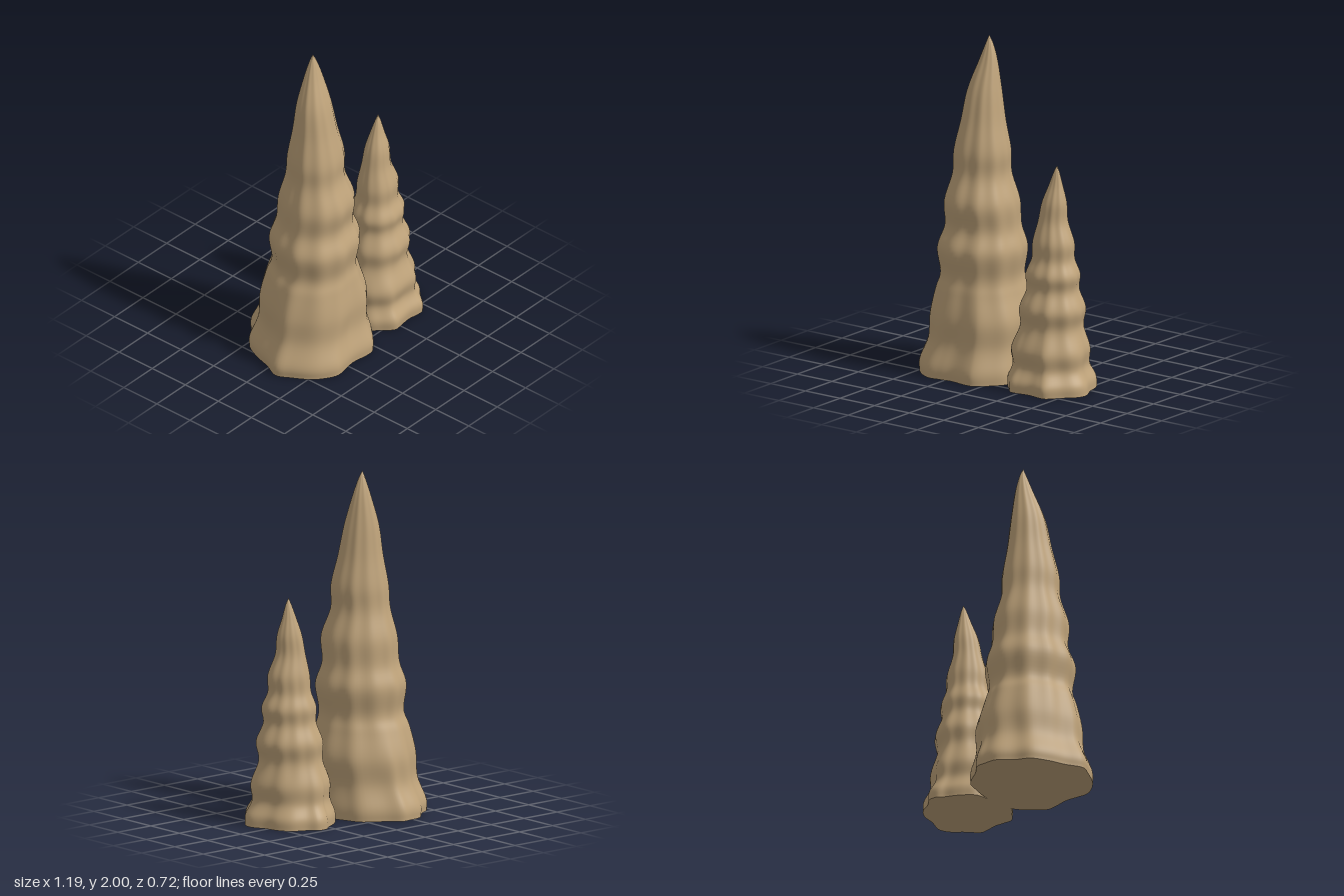
import * as THREE from 'three';

const SEGMENTS = 108, RINGS = 90;

// Builds a spire whose wavy base outline rounds off towards the tip along a bulging height profile.
// profile rows: [y, xMin, xMax, zMin, zMax]; outline: base [x, z] points, clockwise from above
function spire(name, profile, outline, material) {
  const [, x0, x1, z0, z1] = profile[0];
  const height = profile.at(-1)[0];
  const curve = (points, closed) => new THREE.CatmullRomCurve3(points, closed, 'catmullrom', 0.5);
  const lobes = curve(outline.map(([x, z]) => new THREE.Vector3(
    (x - (x0 + x1) / 2) / ((x1 - x0) / 2), 0, (z - (z0 + z1) / 2) / ((z1 - z0) / 2))), true);
  const centre = curve(profile.map(([y, a, b, c, d]) => new THREE.Vector3((a + b) / 2, y, (c + d) / 2)), false);
  const radius = curve(profile.map(([y, a, b, c, d]) => new THREE.Vector3((b - a) / 2, y, (d - c) / 2)), false);

  const positions = [], index = [];
  for (let j = 0; j <= RINGS; j++) {
    const c = centre.getPoint(j / RINGS), r = radius.getPoint(j / RINGS);
    const roundness = 0.8 * THREE.MathUtils.smoothstep(c.y / height, 0, 0.35);
    for (let i = 0; i < SEGMENTS; i++) {
      const p = lobes.getPoint(i / SEGMENTS);
      // Shallow vertical folds, with the front right corner fuller than the back left
      const angle = Math.atan2(p.z, p.x), lean = angle - 0.75 * Math.PI;
      const ripple = 1 + 0.022 * Math.cos(11 * angle) + 0.05 * Math.cos(lean) * Math.cos(2 * lean);
      p.lerp(p.clone().setLength(ripple), roundness);
      positions.push(c.x + p.x * r.x, c.y, c.z + p.z * r.z);
      if (j === RINGS) continue;
      const n = (i + 1) % SEGMENTS, a = j * SEGMENTS + i, b = j * SEGMENTS + n;
      index.push(a, a + SEGMENTS, b, b, a + SEGMENTS, b + SEGMENTS);
    }
  }
  const side = new THREE.BufferGeometry();
  side.setAttribute('position', new THREE.Float32BufferAttribute(positions, 3));
  side.setIndex(index);
  side.computeVertexNormals();

  // Flat underside with its own normals
  const capPositions = [(x0 + x1) / 2, 0, (z0 + z1) / 2, ...positions.slice(0, SEGMENTS * 3)];
  const capIndex = [];
  for (let i = 0; i < SEGMENTS; i++) capIndex.push(0, i + 1, (i + 1) % SEGMENTS + 1);
  const cap = new THREE.BufferGeometry();
  cap.setAttribute('position', new THREE.Float32BufferAttribute(capPositions, 3));
  cap.setIndex(capIndex);
  cap.computeVertexNormals();

  const group = new THREE.Group();
  group.name = name;
  for (const [part, geometry] of [['Body', side], ['Underside', cap]]) {
    const mesh = new THREE.Mesh(geometry, material);
    mesh.name = name + part;
    group.add(mesh);
  }
  return group;
}

export function createModel() {
  const stone = new THREE.MeshStandardMaterial({ color: 0xc0a47b });
  stone.name = 'sandstone';

  const tall = spire('tallStalagmite', [
    [0, -0.592, 0.1, -0.355, 0.353],
    [0.07, -0.59, 0.1, -0.352, 0.352],
    [0.2, -0.535, 0.083, -0.3, 0.315],
    [0.35, -0.517, 0.098, -0.29, 0.315],
    [0.5, -0.475, 0.06, -0.245, 0.29],
    [0.6, -0.44, 0.04, -0.21, 0.272],
    [0.75, -0.455, 0.06, -0.225, 0.292],
    [0.88, -0.415, 0.025, -0.185, 0.25],
    [1.03, -0.407, 0.02, -0.175, 0.265],
    [1.19, -0.367, -0.03, -0.13, 0.212],
    [1.33, -0.36, -0.03, -0.118, 0.205],
    [1.5, -0.325, -0.065, -0.09, 0.165],
    [1.68, -0.295, -0.093, -0.068, 0.125],
    [1.85, -0.237, -0.125, -0.037, 0.065],
    [1.95, -0.2, -0.155, -0.012, 0.031],
    [2, -0.1805, -0.1795, 0.0095, 0.0105],
  ], [
    [-0.592, 0.08], [-0.55, -0.02], [-0.52, -0.12], [-0.47, -0.22], [-0.39, -0.27], [-0.31, -0.345],
    [-0.23, -0.357], [-0.17, -0.357], [-0.1, -0.3], [0.02, -0.22], [0.06, -0.13], [0.09, -0.03],
    [0.1, 0.09], [0.09, 0.2], [0.03, 0.28], [-0.035, 0.34], [-0.09, 0.35], [-0.2, 0.335],
    [-0.28, 0.345], [-0.36, 0.353], [-0.44, 0.31], [-0.5, 0.25], [-0.555, 0.16],
  ], stone);

  const short = spire('shortStalagmite', [
    [0, 0.085, 0.59, -0.225, 0.305],
    [0.06, 0.086, 0.585, -0.22, 0.305],
    [0.14, 0.105, 0.546, -0.178, 0.27],
    [0.24, 0.095, 0.55, -0.172, 0.28],
    [0.37, 0.138, 0.505, -0.125, 0.235],
    [0.48, 0.137, 0.52, -0.13, 0.247],
    [0.59, 0.175, 0.48, -0.09, 0.205],
    [0.68, 0.17, 0.49, -0.09, 0.212],
    [0.77, 0.202, 0.455, -0.06, 0.178],
    [0.87, 0.208, 0.455, -0.052, 0.175],
    [0.99, 0.235, 0.412, -0.025, 0.14],
    [1.1, 0.257, 0.405, -0.012, 0.125],
    [1.2, 0.293, 0.38, 0.014, 0.092],
    [1.28, 0.323, 0.36, 0.038, 0.069],
    [1.32, 0.3425, 0.3435, 0.0525, 0.0535],
  ], [
    [0.085, 0.06], [0.095, 0], [0.105, -0.08], [0.15, -0.13], [0.2, -0.165], [0.25, -0.19], [0.29, -0.223],
    [0.35, -0.223], [0.4, -0.18], [0.48, -0.14], [0.53, -0.07], [0.55, 0.01], [0.59, 0.1], [0.57, 0.17],
    [0.51, 0.23], [0.45, 0.3], [0.4, 0.305], [0.33, 0.295], [0.26, 0.303], [0.2, 0.305], [0.145, 0.25],
    [0.1, 0.2], [0.085, 0.12],
  ], stone);

  const model = new THREE.Group();
  model.name = 'stalagmites';
  model.add(tall, short);
  return model;
}
